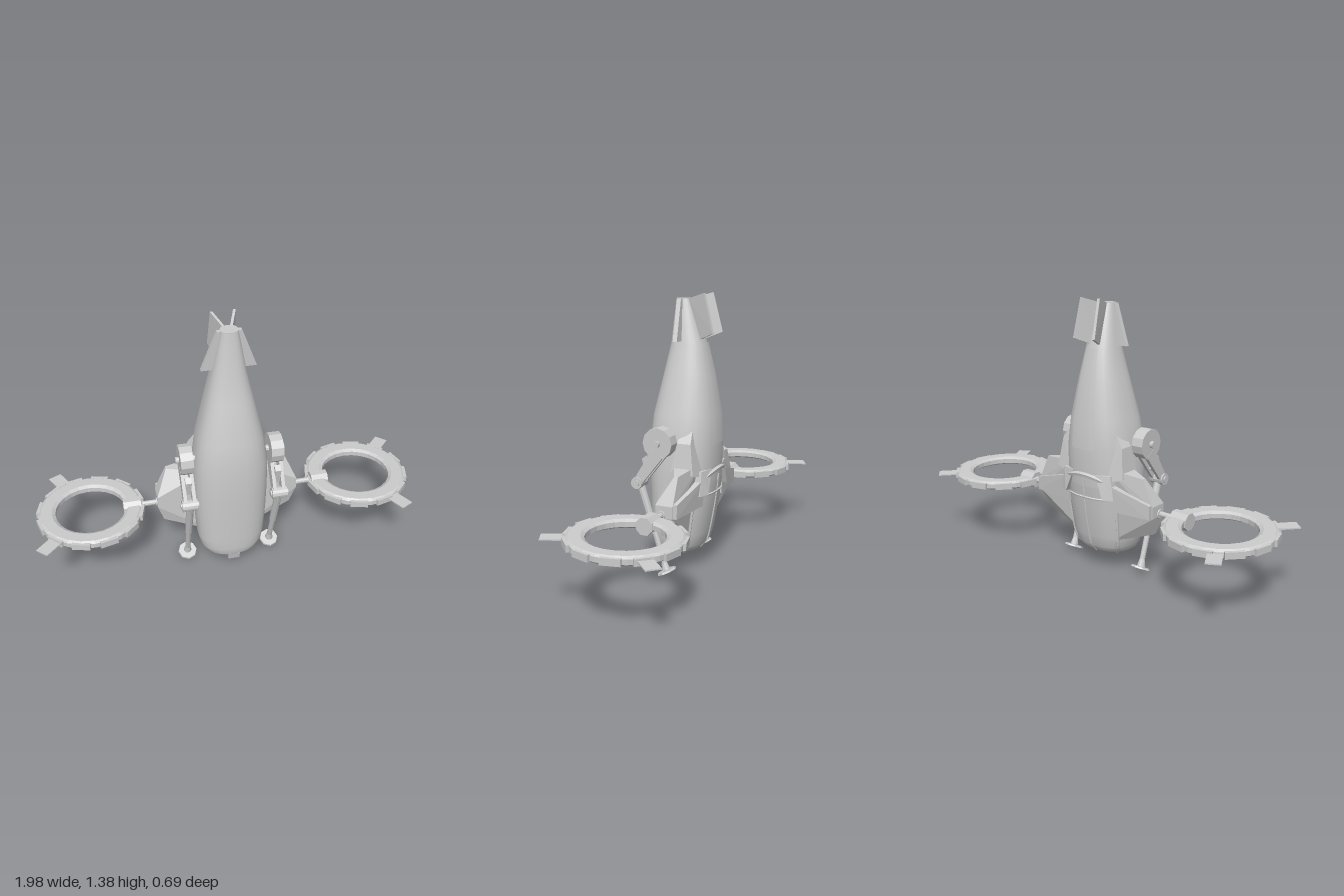
import * as THREE from 'three';
import { ConvexGeometry } from 'three/addons/geometries/ConvexGeometry.js';

const smooth = new THREE.MeshStandardMaterial({ color: 0xcccccc, side: THREE.DoubleSide });
const flat = new THREE.MeshStandardMaterial({ color: 0xcccccc, flatShading: true, side: THREE.DoubleSide });
const V = (x, y, z) => new THREE.Vector3(x, y, z);

function add(parent, name, geometry, material = flat) {
  const mesh = new THREE.Mesh(geometry, material);
  mesh.name = name;
  parent.add(mesh);
  return mesh;
}
function box(parent, name, size, pos) {
  const mesh = add(parent, name, new THREE.BoxGeometry(...size));
  mesh.position.set(...pos);
  return mesh;
}
// Cylinder running from a to b
function rod(parent, name, a, b, r0, r1 = r0, sides = 10) {
  const mesh = add(parent, name, new THREE.CylinderGeometry(r1, r0, a.distanceTo(b), sides));
  mesh.position.copy(a).lerp(b, 0.5);
  mesh.quaternion.setFromUnitVectors(V(0, 1, 0), b.clone().sub(a).normalize());
  return mesh;
}
// Thin plate through flat points, thickened along n
function plate(parent, name, points, n) {
  const all = points.flatMap(p => [p.clone().add(n), p.clone().sub(n)]);
  return add(parent, name, new ConvexGeometry(all));
}

// Hull stations: height, half width, front z, back z
const stations = [
  [0.08, 0.075, 0.165, 0.03], [0.088, 0.11, 0.18, -0.01], [0.105, 0.14, 0.188, -0.045],
  [0.14, 0.163, 0.193, -0.07], [0.2, 0.176, 0.195, -0.087], [0.35, 0.186, 0.2, -0.115],
  [0.48, 0.19, 0.203, -0.133], [0.65, 0.188, 0.205, -0.138], [0.8, 0.165, 0.188, -0.132],
  [1.0, 0.117, 0.14, -0.1], [1.15, 0.082, 0.105, -0.065], [1.36, 0.042, 0.083, 0.008]
];
function hullPoint(y, a, grow = 0) {
  let i = 0;
  while (i < stations.length - 2 && y > stations[i + 1][0]) i++;
  const [p, q] = [stations[i], stations[i + 1]];
  const t = THREE.MathUtils.clamp((y - p[0]) / (q[0] - p[0]), 0, 1);
  const [, w, f, b] = p.map((v, k) => v + (q[k] - v) * t);
  const mid = b + (f - b) * 0.58;
  const c = Math.cos(a), s = Math.sin(a);
  const bulge = v => Math.sign(v) * Math.abs(v) ** 0.82;
  const depth = s > 0 ? f - mid : mid - b;
  return V((w + grow) * bulge(c), y, mid + (depth + grow) * bulge(s));
}
// Skin patch over the hull between two angles
function skin(heights, a0, a1, n, grow) {
  const pos = [], idx = [];
  const closed = a1 - a0 > 6.28, cols = closed ? n : n + 1;
  for (const y of heights)
    for (let j = 0; j < cols; j++) pos.push(...hullPoint(y, a0 + (a1 - a0) * j / n, grow).toArray());
  for (let i = 0; i < heights.length - 1; i++)
    for (let j = 0; j < n; j++) {
      const a = i * cols + j, b = i * cols + (j + 1) % cols, c = a + cols, d = b + cols;
      idx.push(a, c, b, b, c, d);
    }
  const g = new THREE.BufferGeometry();
  g.setAttribute('position', new THREE.Float32BufferAttribute(pos, 3));
  g.setIndex(idx);
  g.computeVertexNormals();
  return g;
}

function buildHull(root) {
  const g = new THREE.Group();
  g.name = 'fuselage';
  root.add(g);
  add(g, 'hull', skin(stations.map(s => s[0]), 0, Math.PI * 2, 28, 0), smooth);
  for (const y of [0.08, 1.36]) {
    const ring = Array.from({ length: 28 }, (_, i) => hullPoint(y, i / 28 * Math.PI * 2));
    plate(g, y < 1 ? 'noseCap' : 'tailCap', ring, V(0, 0.002, 0));
  }
  const B = -Math.PI / 2;
  // Raised spine panel and glazed canopy on the back
  add(g, 'spinePanel', skin([0.66, 0.8, 1.0, 1.15], B - 0.32, B + 0.32, 6, 0.006), smooth);
  add(g, 'canopy', skin([0.12, 0.14, 0.2, 0.35, 0.47], B - 0.85, B + 0.85, 10, 0.004), smooth);
  const frame = (name, pts, r = 0.008) =>
    add(g, name, new THREE.TubeGeometry(new THREE.CatmullRomCurve3(pts, false, 'centripetal'), 20, r, 5), flat);
  for (const s of [-1, 1])
    frame('canopySideFrame', [0.1, 0.14, 0.2, 0.35, 0.46].map(y => hullPoint(y, B + s * 0.87, 0.004)));
  frame('canopyRidge', [0.1, 0.14, 0.2, 0.35, 0.5].map(y => hullPoint(y, B, 0.003)), 0.006);
  frame('canopyArch', [-0.9, -0.5, 0, 0.5, 0.9].map(d => hullPoint(0.53 - 0.09 * d * d, B + d, 0.003)), 0.012);
  frame('canopyCrossFrame', [-0.87, -0.4, 0, 0.4, 0.87].map(d => hullPoint(0.41, B + d, 0.004)), 0.006);
  // Blunt sensor under the nose
  plate(g, 'noseSensor', [V(0, 0.1, 0.125), V(0, 0.1, 0.185), V(0, 0.055, 0.175), V(0, 0.058, 0.135)], V(0.03, 0, 0));
}

function buildWing(root, s) {
  const g = new THREE.Group();
  g.name = s > 0 ? 'leftWing' : 'rightWing';
  root.add(g);
  const hullOf = (name, rows) =>
    add(g, name, new ConvexGeometry(rows.flatMap(([x, y, b, f]) => [V(s * x, y, b), V(s * x, y, f)])));
  // rows: x, y, back z, front z
  hullOf('wing', [
    [0.1, 0.17, -0.03, 0.05], [0.12, 0.57, -0.09, 0.05], [0.31, 0.55, -0.06, -0.04],
    [0.37, 0.42, -0.06, 0.03], [0.37, 0.36, -0.06, 0.03], [0.34, 0.26, -0.01, 0.015]
  ]);
  hullOf('wingSpar', [
    [0.12, 0.36, -0.105, 0.05], [0.12, 0.5, -0.115, 0.05],
    [0.365, 0.36, -0.078, 0.02], [0.365, 0.43, -0.08, 0.02]
  ]);
  // Shoulder fairing behind the leg pivot
  hullOf('shoulder', [
    [0.09, 0.82, -0.05, 0], [0.1, 0.5, -0.11, 0.02], [0.19, 0.68, -0.07, 0.0], [0.21, 0.53, -0.09, 0.03]
  ]);
  hullOf('canopyBrace', [
    [0.07, 0.54, -0.13, -0.1], [0.12, 0.42, -0.135, -0.1], [0.17, 0.42, -0.11, -0.08], [0.15, 0.54, -0.11, -0.08]
  ]);
}

function buildRotor(root, s) {
  const g = new THREE.Group();
  g.name = s > 0 ? 'leftRotor' : 'rightRotor';
  g.position.set(s * 0.71, 0.373, 0);
  root.add(g);
  const ring = new THREE.Group();
  ring.name = 'ring';
  ring.rotation.x = -0.03;
  g.add(ring);
  const profile = [[0.178, -0.012], [0.195, -0.022], [0.25, -0.022], [0.264, -0.012],
    [0.264, 0.012], [0.25, 0.022], [0.195, 0.022], [0.178, 0.012], [0.178, -0.012]];
  add(ring, 'duct', new THREE.LatheGeometry(profile.map(p => new THREE.Vector2(...p)), 24));
  // Raised blocks around the rim
  for (let i = 0; i < 12; i++) {
    const a = i / 12 * Math.PI * 2 + Math.PI / 12;
    const b = box(ring, 'rimBlock', [0.018, 0.032, 0.09], [Math.cos(a) * 0.262, 0, Math.sin(a) * 0.262]);
    b.rotation.y = -a;
  }
  // Two thin vanes per ring, turned half round on the other side
  for (const a of [-0.8, 1.1]) {
    const t = s > 0 ? a : a + Math.PI;
    const vane = box(ring, 'vane', [0.12, 0.006, 0.07], [Math.cos(t) * 0.307, 0.004, Math.sin(t) * 0.307]);
    vane.rotation.y = -t;
  }
  // Clamp and axle towards the wing
  const clamp = rod(g, 'clamp', V(-s * 0.255, 0, 0), V(-s * 0.165, 0, 0), 0.044, 0.044, 8);
  clamp.rotateY(Math.PI / 8);
  rod(g, 'axle', V(-s * 0.36, 0, 0), V(-s * 0.25, 0, 0), 0.014);
  rod(g, 'axleCollar', V(-s * 0.355, 0, 0), V(-s * 0.335, 0, 0), 0.028, 0.022);
}

function buildLeg(root, s) {
  const g = new THREE.Group();
  g.name = s > 0 ? 'leftLeg' : 'rightLeg';
  root.add(g);
  const P = (x, y, z) => V(s * x, y, z);
  rod(g, 'pivotDisc', P(0.195, 0.685, 0.075), P(0.258, 0.685, 0.075), 0.077, 0.077, 12);
  rod(g, 'pivotHub', P(0.15, 0.685, 0.075), P(0.275, 0.685, 0.075), 0.017);
  // Twin-bar upper arm down to the knee
  for (const x of [0.205, 0.25])
    plate(g, 'upperArm', [P(x, 0.66, 0.1), P(x, 0.62, 0.045), P(x, 0.465, 0.17), P(x, 0.5, 0.2)], V(0.009, 0, 0));
  plate(g, 'armStrut', [P(0.227, 0.62, 0.14), P(0.227, 0.6, 0.165), P(0.227, 0.52, 0.15), P(0.227, 0.54, 0.12)], V(0.015, 0, 0));
  rod(g, 'knee', P(0.19, 0.48, 0.185), P(0.267, 0.48, 0.185), 0.03, 0.03, 12);
  rod(g, 'kneePin', P(0.183, 0.48, 0.185), P(0.274, 0.48, 0.185), 0.016);
  // Telescoping shin and round foot
  const knee = P(0.227, 0.48, 0.185), ankle = P(0.227, 0.035, 0.043);
  const at = t => knee.clone().lerp(ankle, t);
  rod(g, 'shinSleeve', at(0), at(0.57), 0.02, 0.018);
  rod(g, 'shinRod', at(0.5), at(1), 0.014);
  rod(g, 'ankle', at(0.9), at(0.98), 0.014, 0.021);
  const up = V(0, 0.9, 0.43).normalize();
  rod(g, 'foot', ankle.clone().addScaledVector(up, -0.004), ankle.clone().addScaledVector(up, 0.005), 0.051, 0.048, 8);
}

function buildTail(root, s) {
  // Side fin and swept back fin, forming a V with its twin
  plate(root, 'sideFin', [V(s * 0.03, 1.36, 0.05), V(s * 0.058, 1.36, 0.05),
    V(s * 0.133, 1.16, 0.038), V(s * 0.06, 1.16, 0.038)], V(0, 0, 0.011));
  plate(root, 'backFin', [V(s * 0.018, 1.36, 0.015), V(s * 0.055, 1.39, -0.083),
    V(s * 0.062, 1.2, -0.13), V(s * 0.022, 1.16, -0.035)], V(s * 0.006, 0, 0.002));
}

export function createModel() {
  const root = new THREE.Group();
  root.name = 'aircraft';
  buildHull(root);
  for (const s of [-1, 1]) {
    buildWing(root, s);
    buildRotor(root, s);
    buildLeg(root, s);
    buildTail(root, s);
  }
  return root;
}
